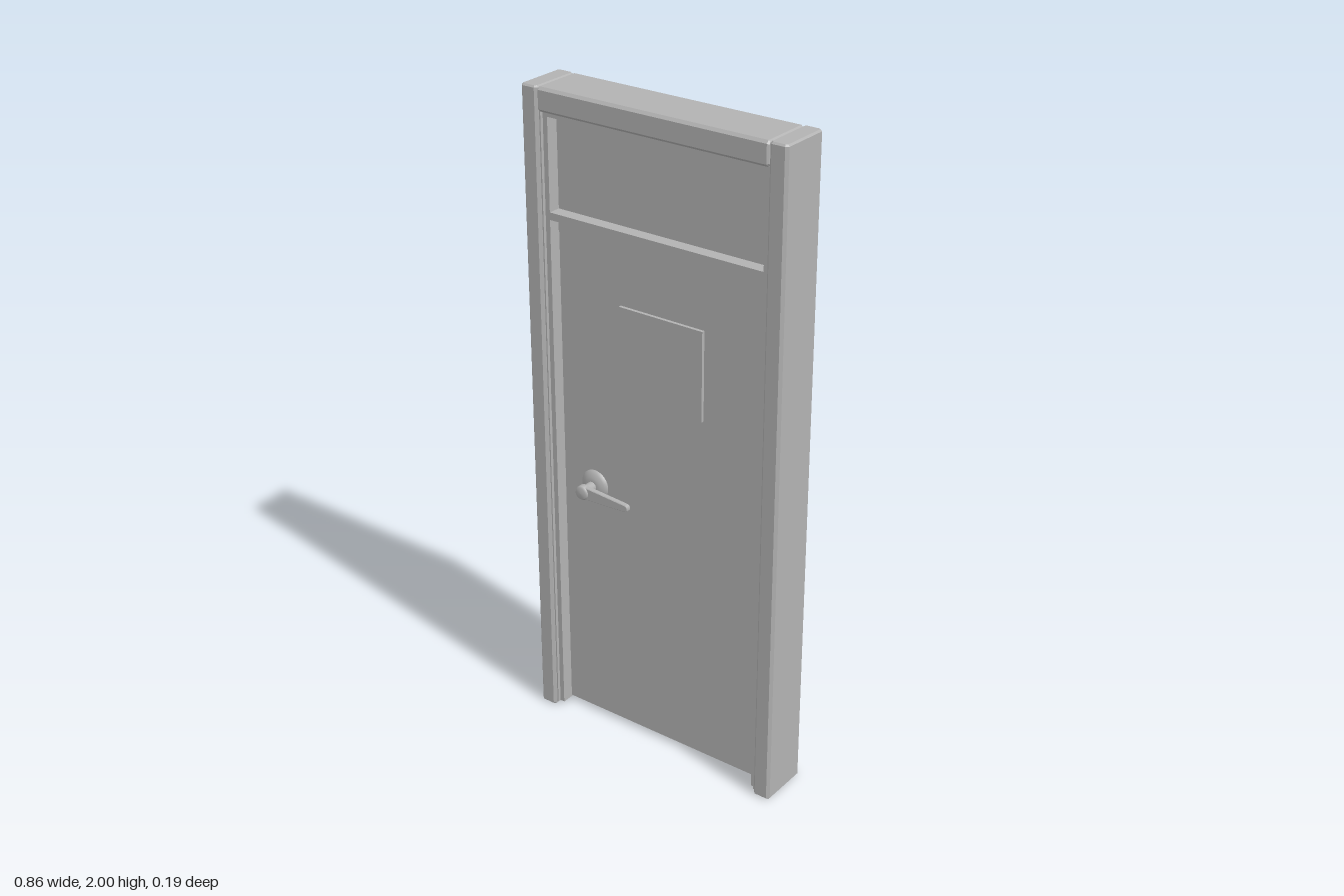
import * as THREE from 'three';

const grey = new THREE.MeshStandardMaterial({ color: 0xb2b2b2 });
grey.name = 'paintedGrey';

// Adds a named mesh to a parent
function add(parent, name, geometry, x = 0, y = 0, z = 0) {
  const mesh = new THREE.Mesh(geometry, grey);
  mesh.name = name;
  mesh.position.set(x, y, z);
  parent.add(mesh);
  return mesh;
}

// Plain box given by its limits in x and y and its depth about z = 0
function slab(parent, name, x0, x1, y0, y1, depth) {
  return add(parent, name, new THREE.BoxGeometry(x1 - x0, y1 - y0, depth), (x0 + x1) / 2, (y0 + y1) / 2);
}

// Beam of length l along z with every edge chamfered by c, centred
function chamferedBeam(w, h, l, c) {
  const a = w / 2 - c, b = h / 2 - c, k = c;
  const s = new THREE.Shape([
    [-a + k, -b], [a - k, -b], [a, -b + k], [a, b - k],
    [a - k, b], [-a + k, b], [-a, b - k], [-a, -b + k],
  ].map(([x, y]) => new THREE.Vector2(x, y)));
  const g = new THREE.ExtrudeGeometry(s, {
    depth: l - 2 * c, bevelEnabled: true, bevelThickness: c, bevelSize: c, bevelSegments: 1,
  });
  return g.translate(0, 0, -(l / 2 - c));
}

// Rosette, spindle and lever, built facing +z
function makeHandle(doorFace) {
  const handle = new THREE.Group();
  const v = (x, y) => new THREE.Vector2(x, y);

  // domed rosette
  const dome = new THREE.LatheGeometry(
    [v(0.048, 0), v(0.047, 0.005), v(0.04, 0.012), v(0.028, 0.017), v(0.018, 0.019), v(0, 0.019)], 32);
  add(handle, 'rosette', dome.rotateX(Math.PI / 2), 0, 0, doorFace);

  // spindle with a rounded cap
  const spindle = new THREE.LatheGeometry(
    [v(0.016, 0), v(0.016, 0.035), v(0.022, 0.04), v(0.022, 0.056), v(0.018, 0.062), v(0, 0.063)], 24);
  add(handle, 'spindle', spindle.rotateX(Math.PI / 2), 0, 0, doorFace + 0.01);

  // tapered lever
  const shape = new THREE.Shape();
  shape.moveTo(0, -0.02);
  shape.lineTo(0.09, -0.017);
  shape.lineTo(0.155, -0.013);
  shape.quadraticCurveTo(0.165, -0.012, 0.165, -0.004);
  shape.quadraticCurveTo(0.165, 0.008, 0.155, 0.009);
  shape.lineTo(0.06, 0.016);
  shape.lineTo(0, 0.02);
  const lever = new THREE.ExtrudeGeometry(shape, {
    depth: 0.012, bevelEnabled: true, bevelThickness: 0.002, bevelSize: 0.002, bevelOffset: -0.002, bevelSegments: 1,
  });
  add(handle, 'lever', lever, 0, 0, 0.072);
  return handle;
}

export function createModel() {
  const model = new THREE.Group();
  model.name = 'doorWithFrame';
  const frame = new THREE.Group();
  frame.name = 'frame';
  const door = new THREE.Group();
  door.name = 'door';
  model.add(frame, door);

  // side posts, with the stepped stop on their inner faces
  for (const side of [-1, 1]) {
    const label = side > 0 ? 'left' : 'right';
    const post = chamferedBeam(0.056, 0.163, 2, 0.005).rotateX(-Math.PI / 2);
    add(frame, label + 'Post', post, side * 0.402, 1, -0.002);
    const x = [0.37, 0.374].map((n) => n * side).sort((p, q) => p - q);
    slab(frame, label + 'PostReveal', x[0], x[1], 0.01, 1.93, 0.14);
    const s = [0.355, 0.371].map((n) => n * side).sort((p, q) => p - q);
    slab(frame, label + 'Stop', s[0], s[1], 0.01, 1.93, 0.12);
  }

  // head beam and its stop
  add(frame, 'head', chamferedBeam(0.163, 0.07, 0.746, 0.005).rotateY(Math.PI / 2), 0, 1.965, -0.002);
  slab(frame, 'headStop', -0.371, 0.371, 1.915, 1.935, 0.12);

  // transom rail and panel above the door
  slab(frame, 'transomBar', -0.356, 0.356, 1.62, 1.642, 0.12);
  slab(frame, 'transomPanel', -0.356, 0.356, 1.64, 1.917, 0.042);
  slab(frame, 'transomRail', -0.356, 0.356, 1.573, 1.622, 0.048);

  // door leaf with a raised window pane on both faces
  slab(door, 'leaf', -0.356, 0.356, 0.015, 1.574, 0.044);
  slab(door, 'window', -0.14, 0.144, 1.133, 1.406, 0.064);

  // one handle on each face
  for (const side of [1, -1]) {
    const handle = makeHandle(0.022);
    handle.name = side > 0 ? 'frontHandle' : 'backHandle';
    handle.position.set(-0.243, 0.808, -0.002);
    if (side < 0) handle.rotation.x = Math.PI;
    door.add(handle);
  }
  return model;
}
